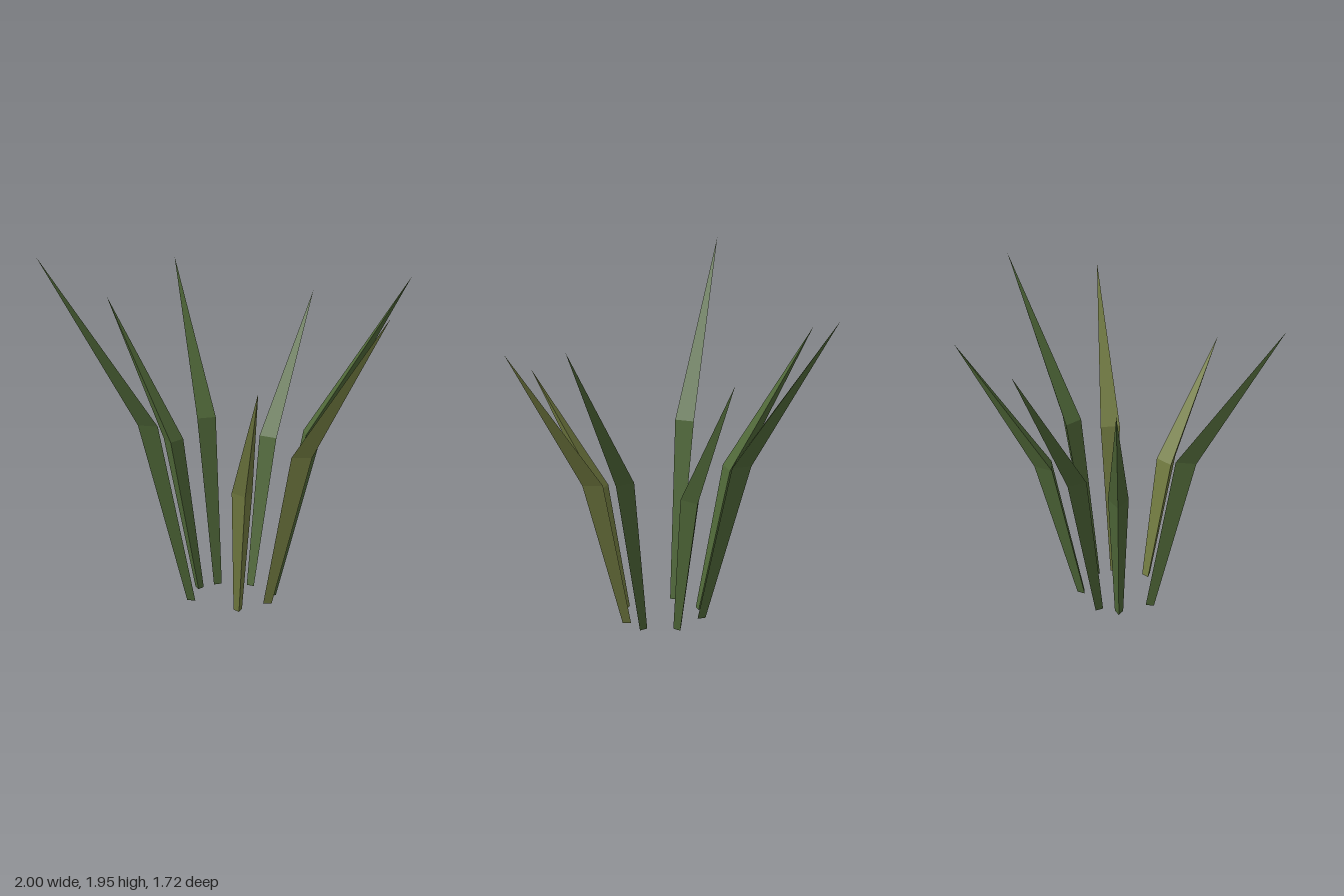
import * as THREE from 'three';

const green = new THREE.MeshStandardMaterial({ color: 0x4f6738, flatShading: true });
green.name = 'leafGreen';
const olive = new THREE.MeshStandardMaterial({ color: 0x727b41, flatShading: true });
olive.name = 'leafOlive';

// Each blade: centre of the foot, of the bend and the tip, as [x, y, z]
const blades = [
  ['frontBlade', olive, [0.045, 0, 0.293], [0.055, 0.71, 0.455], [0.09, 1.35, 0.86]],
  ['frontLeftBlade', olive, [0.216, 0, 0.189], [0.382, 0.865, 0.297], [0.8, 1.66, 0.563]],
  ['leftBlade', green, [0.25, 0, 0.072], [0.462, 0.935, 0.07], [1, 1.79, 0.07]],
  ['backLeftBlade', green, [0.158, 0, -0.105], [0.28, 0.835, -0.255], [0.565, 1.6, -0.635]],
  ['backBlade', green, [-0.035, 0, -0.147], [-0.088, 0.93, -0.353], [-0.225, 1.77, -0.856]],
  ['backRightBlade', green, [-0.141, 0, -0.084], [-0.279, 0.835, -0.211], [-0.63, 1.6, -0.53]],
  ['rightBlade', green, [-0.195, 0, 0.105], [-0.421, 1.02, 0.151], [-1, 1.95, 0.252]],
];

const FOOT_RADIUS = 0.027;
const BEND_RADIUS = 0.064;

// Three-sided spike, bent outward halfway, with its ridge on the outer side
function bladeGeometry(foot, bend, tip) {
  const heading = Math.atan2(tip[0] - foot[0], tip[2] - foot[2]);
  const cone = new THREE.CylinderGeometry(0, 1, 2, 3, 2);
  cone.rotateY(heading);
  const geometry = cone.toNonIndexed();
  const pos = geometry.attributes.position;
  const centres = [foot, bend, tip];
  const scales = [FOOT_RADIUS, BEND_RADIUS * 2, 0]; // the cone is half as wide at the bend
  for (let i = 0; i < pos.count; i++) {
    const level = Math.round(pos.getY(i) + 1);
    const [x, y, z] = centres[level];
    pos.setXYZ(i, x + pos.getX(i) * scales[level], y, z + pos.getZ(i) * scales[level]);
  }
  geometry.computeVertexNormals();
  return geometry;
}

export function createModel() {
  const group = new THREE.Group();
  group.name = 'grassTuft';
  for (const [name, material, foot, bend, tip] of blades) {
    const mesh = new THREE.Mesh(bladeGeometry(foot, bend, tip), material);
    mesh.name = name;
    group.add(mesh);
  }
  return group;
}
